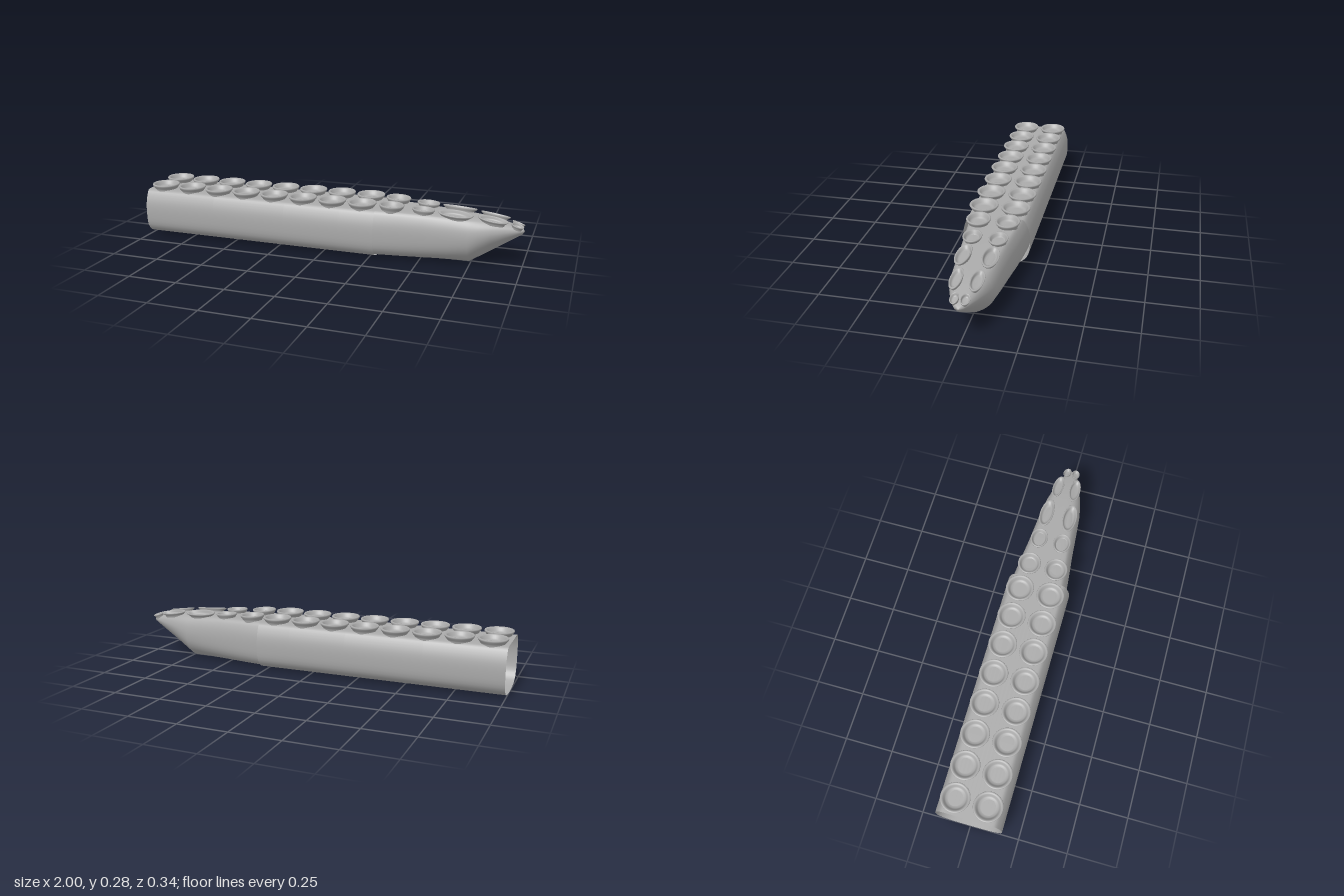
import * as THREE from 'three';

const skin = new THREE.MeshStandardMaterial({ color: 0xaaaaaa, side: THREE.DoubleSide });
skin.name = 'grey skin';

// Half cross-sections as [z, y], both 0..1: a full rounded one and a keeled one for the tip
const FULL = [[0, 1], [0.35, 1], [0.68, 1], [0.81, 0.98], [0.91, 0.87], [0.985, 0.7], [1, 0.48], [0.95, 0.24], [0.8, 0.1], [0.6, 0.035], [0.3, 0.008], [0, 0]];
const KEEL = [[0, 1], [0.3, 1], [0.55, 0.98], [0.72, 0.93], [0.88, 0.84], [0.97, 0.73], [1, 0.6], [0.92, 0.45], [0.74, 0.3], [0.5, 0.17], [0.24, 0.06], [0, 0]];

// Smooth closed ring around the body, as [z, y] points
function ring({ w, y0, y1, k }, steps) {
  const half = FULL.map(([z, y], i) => [
    THREE.MathUtils.lerp(z, KEEL[i][0], k) * w,
    y0 + THREE.MathUtils.lerp(y, KEEL[i][1], k) * (y1 - y0),
  ]);
  const mirrored = half.slice(1, -1).reverse().map(([z, y]) => [-z, y]);
  const pts = [...half, ...mirrored].map(([z, y]) => new THREE.Vector3(0, y, z));
  const curve = new THREE.CatmullRomCurve3(pts, true, 'centripetal');
  return Array.from({ length: steps }, (_, i) => curve.getPoint(i / steps));
}

// Skin a list of stations { x, w, y0, y1, k } along x
function loft(stations, steps = 66) {
  const pos = [], idx = [];
  stations.forEach((s) => ring(s, steps).forEach((p) => pos.push(s.x, p.y, p.z)));
  for (let r = 0; r < stations.length - 1; r++) {
    for (let i = 0; i < steps; i++) {
      const a = r * steps + i, b = r * steps + (i + 1) % steps;
      idx.push(a, b, a + steps, b, b + steps, a + steps);
    }
  }
  const g = new THREE.BufferGeometry();
  g.setAttribute('position', new THREE.Float32BufferAttribute(pos, 3));
  g.setIndex(idx);
  g.computeVertexNormals();
  return g;
}

// Flared cup with a rounded rim and shallow bowl, rim radius 1, base at y = 0
function suckerGeometry() {
  const profile = [[0.78, -0.015], [0.8, 0.002], [0.88, 0.01], [0.98, 0.02], [1, 0.025], [0.97, 0.029], [0.88, 0.029],
    [0.8, 0.024], [0.73, 0.012], [0.65, 0.005], [0.5, 0.002], [0, 0.001]];
  return new THREE.LatheGeometry(profile.map(([x, y]) => new THREE.Vector2(x, y)), 36);
}

export function createModel() {
  const model = new THREE.Group();
  model.name = 'tentacle';
  const add = (geometry, name, parent = model) => {
    const mesh = new THREE.Mesh(geometry, skin);
    mesh.name = name;
    parent.add(mesh);
    return mesh;
  };

  // Straight arm, open at the rear
  add(loft([-1, -0.6, -0.2, 0.1, 0.28].map((x) => ({ x, w: 0.168, y0: 0, y1: 0.252, k: 0 }))), 'arm');

  // Tapering tip, slightly narrower than the arm where it emerges
  const tip = [
    [0.2, 0.156, 0.003, 0.25, 0], [0.28, 0.15, 0.002, 0.25, 0], [0.4, 0.138, 0.001, 0.25, 0.1],
    [0.52, 0.125, 0, 0.248, 0.25], [0.64, 0.115, 0, 0.244, 0.45], [0.74, 0.106, 0, 0.239, 0.7],
    [0.79, 0.097, 0.032, 0.236, 0.85], [0.85, 0.08, 0.072, 0.23, 1], [0.91, 0.059, 0.112, 0.219, 1],
    [0.96, 0.038, 0.145, 0.206, 1], [0.99, 0.022, 0.165, 0.197, 1], [1, 0.001, 0.18, 0.182, 1],
  ];
  add(loft(tip.map(([x, w, y0, y1, k]) => ({ x, w, y0, y1, k }))), 'tip');

  // Suckers in two mirrored rows: [x, y, z, radius x, radius z, tilt, height]
  const cups = [];
  for (let i = 0; i < 8; i++) cups.push([-0.92 + i * 0.16, 0.25, 0.081, 0.073, 0.073, 0, 1]);
  cups.push(
    [0.35, 0.248, 0.072, 0.064, 0.06, -0.04, 1],
    [0.51, 0.243, 0.062, 0.058, 0.046, -0.05, 0.85],
    [0.67, 0.239, 0.06, 0.087, 0.038, -0.06, 0.7],
    [0.85, 0.226, 0.044, 0.074, 0.03, -0.14, 0.6],
    [0.964, 0.203, 0.022, 0.032, 0.021, -0.3, 0.5],
  );
  const cup = suckerGeometry();
  const suckers = new THREE.Group();
  suckers.name = 'suckers';
  model.add(suckers);
  for (const side of [1, -1]) {
    for (const [x, y, z, rx, rz, tilt, h] of cups) {
      const mesh = add(cup, 'sucker', suckers);
      mesh.position.set(x, y, z * side);
      mesh.scale.set(rx, h, rz);
      // Tip suckers lean outward as the body narrows
      mesh.rotation.set(x > 0.6 ? side * 0.2 : 0, 0, tilt);
    }
  }
  return model;
}
